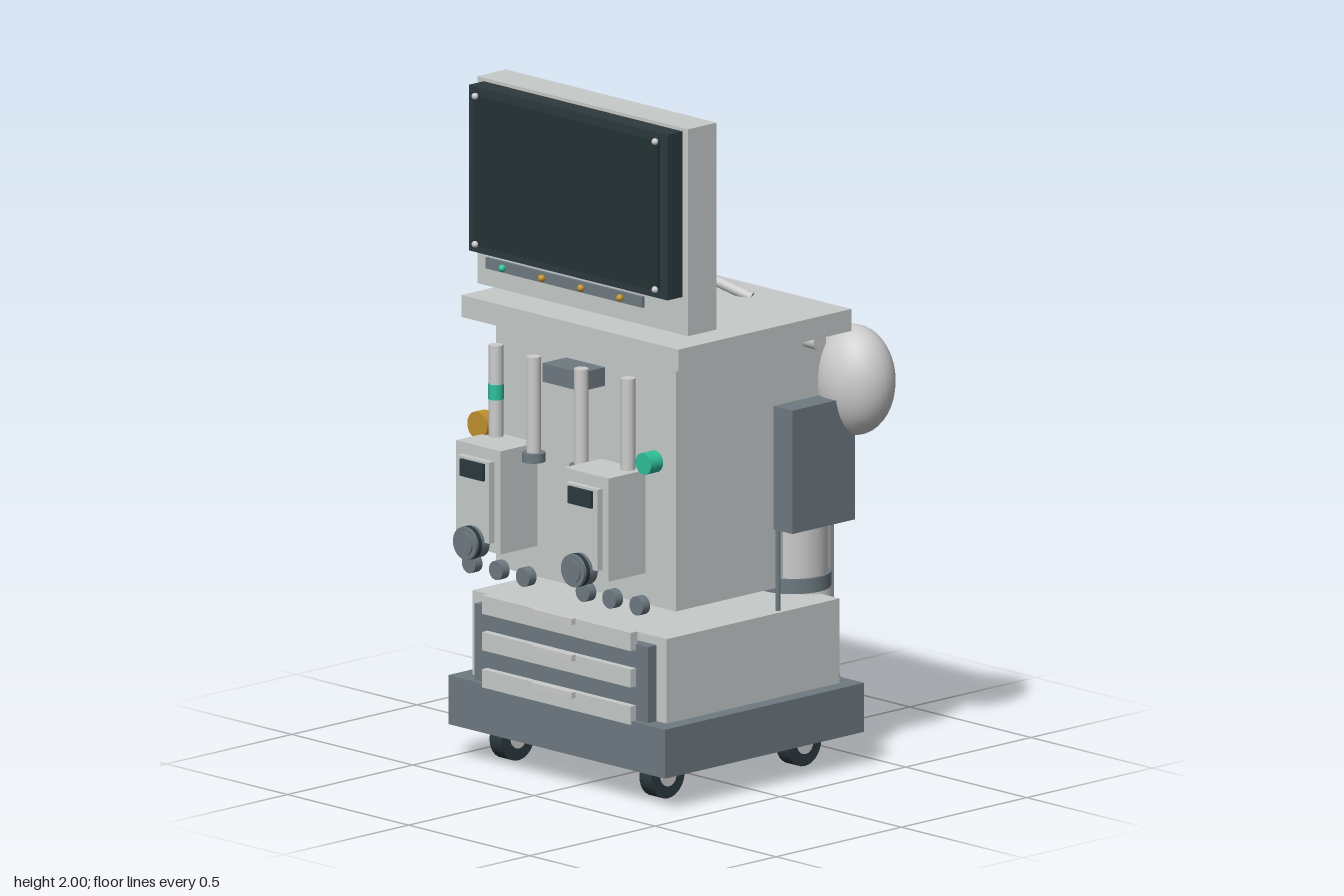
import * as THREE from 'three';

const mat = (name, color) => {
  const m = new THREE.MeshStandardMaterial({ color });
  m.name = name;
  return m;
};

export function createModel() {
  const root = new THREE.Group();
  root.name = 'anaesthesiaCart';
  const shell = mat('paleShell', 0xc6cbca);
  const metal = mat('lightMetal', 0xcccccc);
  const slate = mat('slate', 0x6d7a81);
  const dark = mat('darkScreen', 0x2c393e);
  const glass = mat('screenGlass', 0x253236);
  const amber = mat('amber', 0xc0902f);
  const teal = mat('teal', 0x30bf9a);

  const add = (name, geo, m, x = 0, y = 0, z = 0) => {
    const mesh = new THREE.Mesh(geo, m);
    mesh.name = name;
    mesh.position.set(x, y, z);
    root.add(mesh);
    return mesh;
  };
  // Box given by its limits on each axis
  const box = (name, m, x0, x1, y0, y1, z0, z1) =>
    add(name, new THREE.BoxGeometry(x1 - x0, y1 - y0, z1 - z0), m, (x0 + x1) / 2, (y0 + y1) / 2, (z0 + z1) / 2);
  // Cylinder between two points
  const rod = (name, m, r, a, b, sides = 24) => {
    const p = new THREE.Vector3(...a), q = new THREE.Vector3(...b);
    const d = q.clone().sub(p);
    const mesh = add(name, new THREE.CylinderGeometry(r, r, d.length(), sides), m);
    mesh.position.copy(p).add(q).multiplyScalar(0.5);
    mesh.quaternion.setFromUnitVectors(new THREE.Vector3(0, 1, 0), d.normalize());
    return mesh;
  };
  const ball = (name, m, r, x, y, z) => add(name, new THREE.SphereGeometry(r, 16, 12), m, x, y, z);

  // Base, lower cabinet, upper body and worktop
  box('base', slate, -0.49, 0.405, 0.1, 0.245, -0.426, 0.368);
  box('lowerCabinet', shell, -0.445, 0.357, 0.245, 0.495, -0.375, 0.315);
  box('upperBody', shell, -0.415, 0.327, 0.56, 1.295, -0.35, 0.25);
  box('worktop', shell, -0.49, 0.405, 1.295, 1.36, -0.375, 0.315);

  // Casters
  for (const x of [-0.354, 0.265]) for (const z of [0.245, -0.3]) {
    rod('casterTyre', dark, 0.066, [x - 0.025, 0.066, z], [x + 0.025, 0.066, z], 28);
    rod('casterHub', metal, 0.03, [x - 0.029, 0.066, z], [x + 0.029, 0.066, z]);
    box('casterMount', dark, x - 0.05, x + 0.05, 0.09, 0.1, z - 0.04, z + 0.04);
  }

  // Drawers
  box('drawerFrame', slate, -0.4, 0.315, 0.245, 0.47, 0.315, 0.35);
  for (const y of [0.48, 0.372, 0.262]) {
    box('drawerFront', shell, -0.347, 0.267, y - 0.027, y + 0.027, 0.345, 0.372);
    box('drawerHandle', metal, -0.125, 0.04, y + 0.012, y + 0.03, 0.372, 0.388);
  }

  // Monitor
  box('monitorHousing', shell, -0.48, 0.39, 1.388, 2.0, 0.148, 0.262);
  box('screenBezel', dark, -0.453, 0.367, 1.5, 1.99, 0.262, 0.322);
  box('screenGlass', glass, -0.427, 0.336, 1.523, 1.968, 0.322, 0.331);
  for (const x of [-0.415, 0.328]) for (const y of [1.527, 1.965]) ball('screenScrew', metal, 0.01, x, y, 0.334);
  box('indicatorStrip', slate, -0.368, 0.278, 1.465, 1.497, 0.328, 0.338);
  [-0.293, -0.13, 0.032, 0.193].forEach((x, i) =>
    ball('indicatorLight', i === 0 ? teal : amber, 0.011, x, 1.48, 0.344));

  // Jointed arm lying above the worktop
  const arm = [[-0.27, 1.36, -0.015], [-0.243, 1.385, -0.06], [-0.018, 1.41, -0.207], [0.1, 1.357, -0.272]];
  for (let i = 0; i < 3; i++) rod('armSegment', metal, 0.016, arm[i], arm[i + 1], 16);
  ball('armJoint', slate, 0.021, ...arm[1]);
  ball('armJoint', slate, 0.021, ...arm[2]);

  // Flow tubes on the front
  for (const x of [-0.317, 0.228]) rod('outerFlowTube', metal, 0.021, [x, 0.98, 0.345], [x, 1.25, 0.345]);
  for (const x of [-0.143, 0.054]) {
    rod('innerFlowTube', metal, 0.021, [x, 0.96, 0.363], [x, 1.25, 0.363]);
    rod('flowTubeFoot', slate, 0.034, [x, 0.94, 0.363], [x, 0.967, 0.363]);
  }
  rod('flowMarker', teal, 0.0225, [-0.317, 1.09, 0.345], [-0.317, 1.135, 0.345]);
  box('flowPanel', slate, -0.125, 0.035, 1.175, 1.23, 0.25, 0.345);

  // Gas knobs
  rod('amberKnob', amber, 0.041, [-0.378, 1.002, 0.325], [-0.378, 1.002, 0.361], 28);
  rod('amberKnobCap', slate, 0.026, [-0.378, 1.002, 0.32], [-0.378, 1.002, 0.324]);
  rod('tealKnob', teal, 0.032, [0.315, 1.015, 0.32], [0.315, 1.015, 0.368], 28);

  // Vaporizers
  for (const c of [-0.268, 0.178]) {
    box('vaporizerBody', shell, c - 0.092, c + 0.092, 0.675, 0.98, 0.315, 0.463);
    box('vaporizerFace', shell, c - 0.066, c + 0.066, 0.705, 0.945, 0.463, 0.483);
    box('vaporizerWindow', dark, c - 0.048, c + 0.048, 0.888, 0.938, 0.483, 0.492);
    rod('vaporizerDial', slate, 0.048, [c, 0.7, 0.463], [c, 0.7, 0.518], 28);
    rod('dialRing', dark, 0.049, [c, 0.7, 0.495], [c, 0.7, 0.508], 28);
    rod('dialCap', slate, 0.034, [c, 0.7, 0.518], [c, 0.7, 0.523], 28);
  }

  // Row of front knobs and rear ports
  for (const x of [-0.39, -0.278, -0.167, 0.08, 0.19, 0.302])
    rod('frontKnob', slate, 0.028, [x, 0.595, 0.355], [x, 0.595, 0.384]);
  for (const x of [-0.33, -0.142, 0.055, 0.25])
    rod('rearPort', slate, 0.025, [x, 0.233, -0.42], [x, 0.233, -0.457]);

  // Rear gas cylinders
  for (const x of [-0.291, 0.203]) {
    rod('gasCylinder', metal, 0.078, [x, 0.447, -0.392], [x, 1.0, -0.392], 32);
    rod('gasCylinderCap', slate, 0.086, [x, 1.0, -0.392], [x, 1.055, -0.392], 32);
    rod('gasCylinderValve', slate, 0.022, [x, 1.055, -0.392], [x, 1.12, -0.392]);
  }

  // Cross rail and the side pole with knobs
  rod('crossRail', metal, 0.022, [-0.465, 1.273, -0.275], [0.375, 1.273, -0.275]);
  rod('sidePole', metal, 0.016, [-0.463, 0.755, -0.255], [-0.463, 1.25, -0.255]);
  for (const y of [1.14, 0.966, 0.79]) ball('sidePoleKnob', slate, 0.021, -0.49, y, -0.255);

  // Breathing bag, absorber box and canister
  const bag = add('breathingBag', new THREE.SphereGeometry(1, 32, 20), metal, 0.378, 1.14, -0.415);
  bag.scale.set(0.128, 0.162, 0.107);
  box('absorberBox', slate, 0.155, 0.405, 0.735, 1.1, -0.39, -0.14);
  rod('absorberCanister', metal, 0.101, [0.278, 0.58, -0.265], [0.278, 0.735, -0.265], 32);
  rod('canisterBase', slate, 0.11, [0.278, 0.54, -0.265], [0.278, 0.583, -0.265], 32);
  rod('absorberPole', slate, 0.008, [0.335, 0.495, -0.15], [0.335, 0.735, -0.15], 12);
  for (const x of [0.17, 0.26]) rod('absorberPort', slate, 0.022, [x, 1.1, -0.365], [x, 1.14, -0.365]);

  return root;
}
